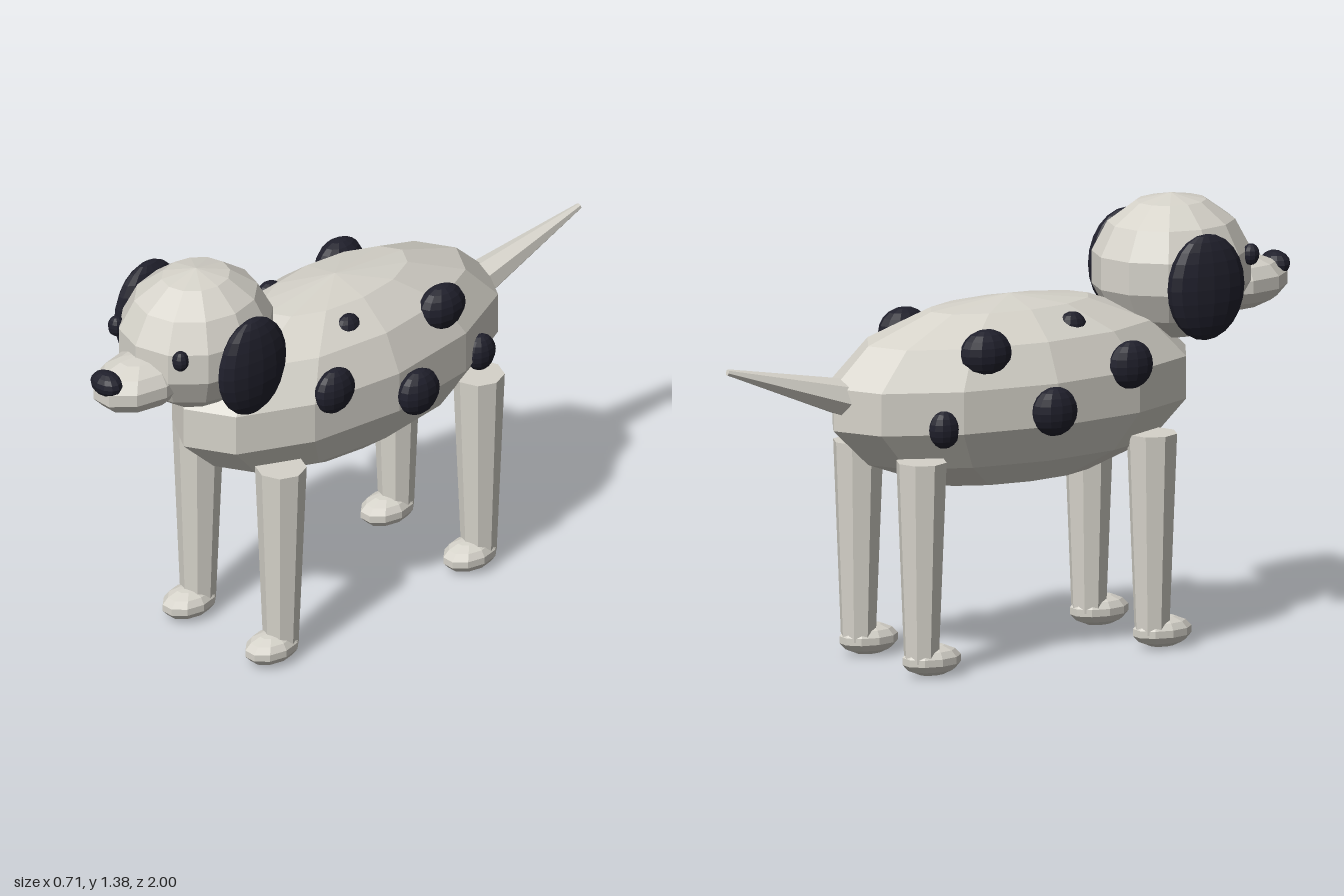
import * as THREE from 'three';

const coat = new THREE.MeshStandardMaterial({ name: 'pale coat', color: 0xd6d3ca, flatShading: true });
const black = new THREE.MeshStandardMaterial({ name: 'black patches', color: 0x20202c, flatShading: true });

export function createModel() {
  const model = new THREE.Group();
  model.name = 'spottedDog';

  function add(name, geometry, material) {
    const mesh = new THREE.Mesh(geometry, material);
    mesh.name = name;
    model.add(mesh);
    return mesh;
  }

  // Faceted ellipsoid given by centre and three radii
  function blob(name, material, centre, radii, around = 12, rows = 7) {
    const mesh = add(name, new THREE.SphereGeometry(1, around, rows), material);
    mesh.position.set(...centre);
    mesh.scale.set(...radii);
    return mesh;
  }

  // Torso, head and face
  blob('body', coat, [0, 0.83, 0], [0.3, 0.3, 0.65]);
  blob('head', coat, [0, 1.153, 0.583], [0.23, 0.23, 0.26]);
  blob('muzzle', coat, [0, 1.078, 0.81], [0.118, 0.089, 0.183], 10, 7);
  blob('nose', black, [0, 1.12, 0.957], [0.058, 0.039, 0.043], 12, 8);

  for (const side of [1, -1]) {
    const label = side > 0 ? 'left' : 'right';

    // Eyes and hanging ears
    blob(label + 'Eye', black, [side * 0.146, 1.192, 0.782], [0.026, 0.034, 0.027], 10, 8);
    blob(label + 'Ear', black, [side * 0.237, 1.129, 0.565], [0.052, 0.167, 0.135], 14, 12);

    // Tapered legs with flattened paws set forward
    for (const [end, z] of [['Front', 0.4], ['Back', -0.43]]) {
      const leg = add(label + end + 'Leg', new THREE.CylinderGeometry(0.08, 0.055, 0.63, 8), coat);
      leg.position.set(side * 0.188, 0.365, z);
      blob(label + end + 'Paw', coat, [side * 0.188, 0.052, z + 0.037], [0.068, 0.05, 0.1], 10, 7);
    }

    // Coat spots: the right side sits slightly further forward
    const shift = side > 0 ? 0 : 0.042;
    const spots = [
      [[0.26, 0.92, 0.24], [0.042, 0.076, 0.076]],
      [[0.31, 0.815, -0.065], [0.046, 0.077, 0.078]],
      [[0.21, 1.0, -0.253], [0.055, 0.076, 0.088]],
      [[0.22, 0.78, -0.408], [0.038, 0.061, 0.053]],
      [[0.155, 1.035, 0.09], [0.035, 0.05, 0.05]],
    ];
    spots.forEach(([[x, y, z], radii], i) => {
      blob(label + 'Spot' + (i + 1), black, [side * x, y, z + shift], radii, 12, 10);
    });
  }

  // Tail: slim cone pointing up and back
  const root = new THREE.Vector3(0, 0.85, -0.55);
  const tip = new THREE.Vector3(0.03, 0.983, -0.997);
  const axis = tip.clone().sub(root);
  const tail = add('tail', new THREE.CylinderGeometry(0.01, 0.066, axis.length(), 7), coat);
  tail.position.copy(root).add(tip).multiplyScalar(0.5);
  tail.quaternion.setFromUnitVectors(new THREE.Vector3(0, 1, 0), axis.normalize());

  return model;
}
